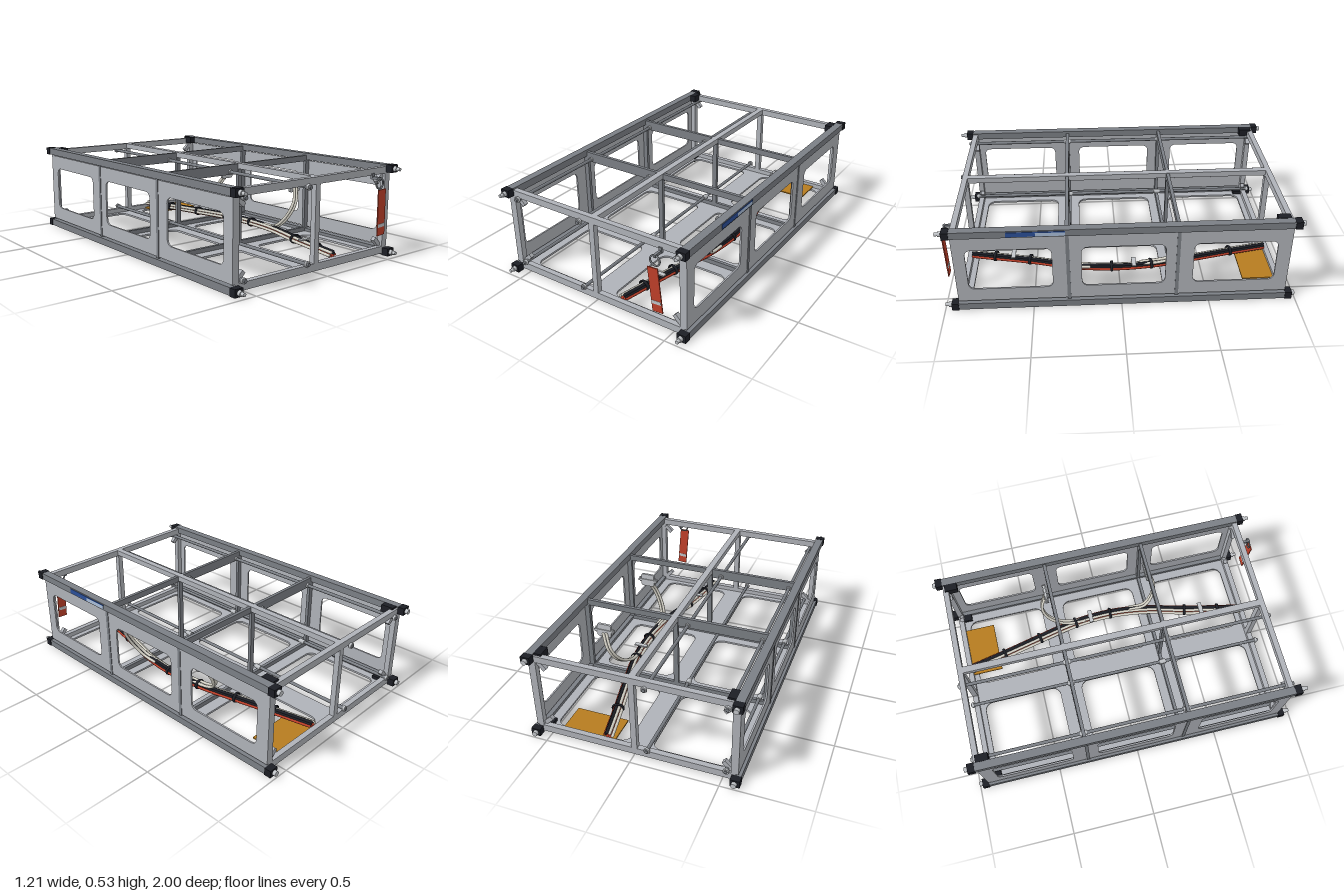
import * as THREE from 'three';

const mat = (name, color) => {
  const m = new THREE.MeshStandardMaterial({ color });
  m.name = name;
  return m;
};

export function createModel() {
  const root = new THREE.Group();
  root.name = 'satelliteFrame';
  const M = {
    frame: mat('aluminium', 0xafb2b8),
    rail: mat('darkAnodised', 0x7b7f85),
    black: mat('black', 0x1c1e25),
    white: mat('cableWhite', 0xd6d3c8),
    red: mat('red', 0xc0402a),
    gold: mat('gold', 0xb67c20),
    blue: mat('blue', 0x2b4f98),
    pale: mat('paleBlue', 0xa9bdd8),
    steel: mat('steel', 0xc2c5c9),
  };
  const add = (name, geo, m, x = 0, y = 0, z = 0, parent = root) => {
    const mesh = new THREE.Mesh(geo, m);
    mesh.name = name;
    mesh.position.set(x, y, z);
    parent.add(mesh);
    return mesh;
  };
  // Box given by its extents on each axis
  const box = (name, m, x0, x1, y0, y1, z0, z1, parent = root) =>
    add(name, new THREE.BoxGeometry(x1 - x0, y1 - y0, z1 - z0), m,
      (x0 + x1) / 2, (y0 + y1) / 2, (z0 + z1) / 2, parent);
  // Cylinder along z from z0 to z1
  const rod = (name, m, r, x, y, z0, z1, sides = 16) =>
    add(name, new THREE.CylinderGeometry(r, r, z1 - z0, sides).rotateX(Math.PI / 2), m, x, y, (z0 + z1) / 2);
  const roundRect = (s, x0, x1, y0, y1, r) => {
    s.absarc(x1 - r, y1 - r, r, 0, Math.PI / 2);
    s.absarc(x0 + r, y1 - r, r, Math.PI / 2, Math.PI);
    s.absarc(x0 + r, y0 + r, r, Math.PI, Math.PI * 1.5);
    s.absarc(x1 - r, y0 + r, r, Math.PI * 1.5, Math.PI * 2);
    s.closePath();
    return s;
  };
  // Flat plate with rounded windows
  const plate = (x0, x1, y0, y1, depth, windows, r) => {
    const s = new THREE.Shape();
    s.moveTo(x0, y0).lineTo(x1, y0).lineTo(x1, y1).lineTo(x0, y1).closePath();
    windows.forEach(w => s.holes.push(roundRect(new THREE.Path(), ...w, r)));
    return new THREE.ExtrudeGeometry(s, { depth, bevelEnabled: false, curveSegments: 6 });
  };

  const Z0 = -0.942, Z1 = 0.922;

  // Corner rails with end blocks, pins, back clips and corner brackets
  for (const sx of [-1, 1]) for (const top of [0, 1]) {
    const yc = top ? 0.507 : 0.022;
    add('rail', new THREE.BoxGeometry(0.047, 0.041, Z1 - Z0), M.rail, sx * 0.5765, yc, (Z0 + Z1) / 2);
    add('frontEndBlock', new THREE.BoxGeometry(0.054, 0.044, 0.04), M.black, sx * 0.577, yc, 0.942);
    add('backEndBlock', new THREE.BoxGeometry(0.054, 0.044, 0.04), M.black, sx * 0.577, yc, -0.961);
    rod('frontPin', M.steel, 0.015, sx * 0.575, yc, 0.96, 0.98);
    rod('frontPinTip', M.steel, 0.01, sx * 0.575, yc, 0.98, 1);
    rod('backPin', M.steel, 0.015, sx * 0.575, yc, -1, -0.98);
    add('backClip', new THREE.BoxGeometry(0.044, 0.044, 0.074), M.black, sx * 0.533, yc, -0.893);
    for (const z of [0.895, -0.915]) {
      const b = add('cornerBracket', new THREE.BoxGeometry(0.06, 0.025, 0.025), M.frame,
        sx * 0.52, top ? 0.45 : 0.08, z);
      b.rotation.z = (top ? 1 : -1) * sx * Math.PI / 4;
    }
  }

  // Front and back end frames
  for (const [z0, z1] of [[0.89, Z1], [Z0, -0.91]]) {
    box('endTopBar', M.frame, -0.57, 0.57, 0.479, 0.518, z0, z1);
    box('endBottomBar', M.frame, -0.57, 0.57, 0.011, 0.053, z0, z1);
    for (const s of [-1, 1]) add('endPost', new THREE.BoxGeometry(0.04, 0.43, z1 - z0), M.frame, s * 0.564, 0.266, (z0 + z1) / 2);
    box('endCentrePost', M.frame, -0.02, 0.013, 0.05, 0.48, z0, z1);
  }
  box('topCentreBar', M.frame, -0.02, 0.018, 0.485, 0.518, -0.92, 0.9);

  // Two inner cross frames
  for (const z of [-0.312, 0.297]) {
    const a = z - 0.01, b = z + 0.01;
    box('crossBarRightHalf', M.rail, -0.555, -0.02, 0.456, 0.515, a, b);
    box('crossBarLeftHalf', M.rail, 0.018, 0.555, 0.479, 0.515, a, b);
    box('crossBottomBar', M.rail, -0.555, 0.555, 0.024, 0.05, a, b);
    box('crossCentrePost', M.rail, -0.018, 0.012, 0.04, 0.485, a, b);
    for (const s of [-1, 1]) add('crossSidePost', new THREE.BoxGeometry(0.042, 0.44, 0.02), M.rail, s * 0.567, 0.265, z);
  }

  // Side panels with three windows each
  const sideWindows = [[-0.855, -0.385], [-0.222, 0.244], [0.4, 0.865]].map(w => [...w, 0.134, 0.398]);
  for (const x of [-0.585, 0.575])
    add('sidePanel', plate(-Z1, -Z0, 0.052, 0.479, 0.01, sideWindows, 0.035).rotateY(Math.PI / 2), M.frame, x);

  // Floor panel with six windows
  const floorWindows = [];
  for (const x of [[-0.505, -0.077], [0.062, 0.5]])
    for (const z of [[-0.857, -0.376], [-0.233, 0.249], [0.392, 0.878]]) floorWindows.push([...x, ...z]);
  add('floorPanel', plate(-0.553, 0.553, -Z1, -Z0, 0.012, floorWindows, 0.05).rotateX(-Math.PI / 2), M.frame, 0, 0.012, 0);

  // Four stack rods with hex nuts
  for (const x of [-0.52, -0.08]) for (const y of [0.063, 0.472]) {
    rod('stackRod', M.rail, 0.01, x, y, -0.96, 0.945, 12);
    for (const z of [0.922, -0.955]) rod('hexNut', M.steel, 0.018, x, y, z, z + 0.013, 6);
    for (const z of [-0.312, 0.297]) rod('rodSpacer', M.steel, 0.016, x, y, z - 0.02, z + 0.02, 6);
  }

  // Gold sheet on the floor at the back
  box('goldSheet', M.gold, 0.13, 0.445, 0.026, 0.034, -0.91, -0.725);

  // Cable bundle
  const path = [[0.165, -0.905], [0.21, -0.69], [0.265, -0.445], [0.315, -0.2], [0.33, 0.03],
    [0.305, 0.27], [0.24, 0.52], [0.185, 0.77], [0.16, 0.885]];
  const curveOf = pts => new THREE.CatmullRomCurve3(pts.map(p => new THREE.Vector3(...p)));
  const cable = (name, m, r, pts, n = 48) => {
    add(name, new THREE.TubeGeometry(curveOf(pts), n, r, 8), m);
    for (const p of [pts[0], pts[pts.length - 1]]) add(name + 'End', new THREE.SphereGeometry(r, 8, 6), m, ...p);
  };
  for (const [name, m, dx, y] of [
    ['whiteCable', M.white, -0.024, 0.062], ['whiteCable', M.white, -0.008, 0.076],
    ['blackCable', M.black, 0.008, 0.08], ['blackCable', M.black, 0.015, 0.07],
    ['redCable', M.red, 0.022, 0.062], ['redCable', M.red, 0.006, 0.055], ['redCable', M.red, -0.01, 0.055],
  ]) cable(name, m, 0.009, path.map(([x, z]) => [x + dx, y, z]));

  // Cable ties and wrap labels
  const spine = curveOf(path.map(([x, z]) => [x, 0.068, z]));
  const atZ = (name, z, make) => {
    let t = 0;
    while (t < 1 && spine.getPoint(t).z < z) t += 0.004;
    const p = spine.getPoint(t), d = spine.getTangent(t);
    const mesh = make(name, p);
    mesh.rotation.y = Math.atan2(d.x, d.z);
  };
  for (const z of [-0.69, -0.445, -0.195, 0.045, 0.525, 0.74])
    atZ('cableTie', z, (n, p) => {
      const tie = add(n, new THREE.TorusGeometry(0.032, 0.006, 6, 16), M.black, p.x, p.y, p.z);
      tie.scale.set(1, 0.8, 1.6);
      return tie;
    });
  for (const [z, x] of [[-0.087, 0.328], [0.635, 0.21]])
    box('cableLabel', M.steel, x - 0.042, x + 0.042, 0.088, 0.096, z - 0.013, z + 0.013);

  // Two connectors, each with a pair of branch cables
  const shell = new THREE.ExtrudeGeometry(roundRect(new THREE.Shape(), -0.045, 0.045, -0.043, 0.043, 0.015),
    { depth: 0.014, bevelEnabled: false });
  for (const [z, pts] of [
    [-0.345, [[0.31, 0.08, -0.13], [0.315, 0.1, -0.26], [0.35, 0.16, -0.355], [0.39, 0.24, -0.385], [0.43, 0.32, -0.352]]],
    [0.312, [[0.32, 0.08, 0.18], [0.32, 0.09, 0.28], [0.35, 0.15, 0.335], [0.395, 0.24, 0.355], [0.43, 0.32, 0.325]]],
  ]) {
    const g = new THREE.Group();
    g.name = 'connector';
    g.position.set(0.443, 0.338, z);
    root.add(g);
    add('connectorShell', shell, M.steel, 0, 0, -0.007, g);
    box('connectorFlange', M.steel, -0.063, 0.063, -0.007, 0.007, -0.012, 0.012, g);
    for (const s of [-1, 1]) add('connectorScrew', new THREE.CylinderGeometry(0.006, 0.006, 0.034, 8), M.steel, s * 0.054, 0, 0, g);
    for (const d of [0, 0.02]) cable('branchCable', M.white, 0.009, pts.map(([x, y, w]) => [x + d, y - d * 0.3, w]), 24);
  }

  // Pull tag with ring and holder
  const tag = new THREE.Group();
  tag.name = 'pullTag';
  tag.position.set(0.442, 0.278, 0.985);
  tag.rotation.set(0.04, 0, 0.07);
  root.add(tag);
  box('tagStrip', M.red, -0.031, 0.031, -0.132, 0.132, -0.003, 0.003, tag);
  box('tagBand', M.steel, -0.027, 0.027, -0.084, -0.064, -0.0045, 0.0045, tag);
  add('tagRing', new THREE.TorusGeometry(0.029, 0.005, 8, 28), M.rail, 0.435, 0.44, 0.972);
  box('tagHolder', M.rail, 0.428, 0.442, 0.458, 0.474, 0.915, 0.978);
  box('tagHolderTab', M.rail, 0.425, 0.445, 0.458, 0.49, 0.915, 0.928);

  // Sticker on the left top rail
  box('stickerBlue', M.blue, 0.598, 0.603, 0.493, 0.521, 0.465, 0.622);
  box('stickerPale', M.pale, 0.598, 0.603, 0.493, 0.514, 0.305, 0.465);
  box('stickerEdge', M.blue, 0.598, 0.603, 0.514, 0.521, 0.305, 0.465);
  return root;
}
